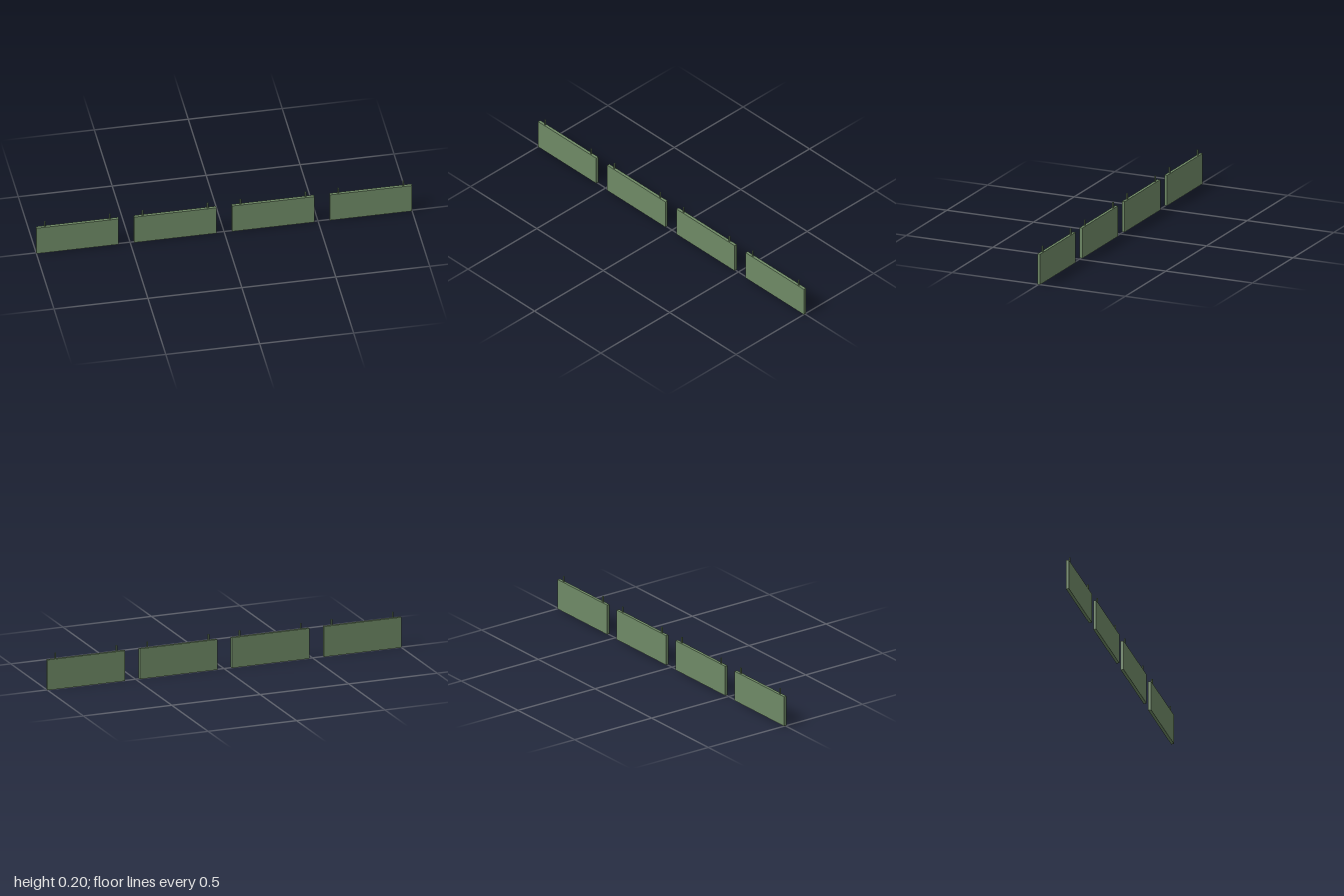
import * as THREE from 'three';

const PANEL = { width: 0.438, height: 0.166, depth: 0.016 };
const SPACING = 0.5207;
const PIN = { radius: 0.0045, top: 0.198, offset: 0.173, sunk: 0.01 };

export function createModel() {
  const model = new THREE.Group();
  model.name = 'hangingPanels';
  const green = new THREE.MeshStandardMaterial({ color: 0x6f8a66 });

  const panelGeometry = new THREE.BoxGeometry(PANEL.width, PANEL.height, PANEL.depth);
  const pinHeight = PIN.top - PANEL.height + PIN.sunk;
  const pinGeometry = new THREE.CylinderGeometry(PIN.radius, PIN.radius, pinHeight, 12);

  // Four identical boards in a row
  for (let i = 0; i < 4; i++) {
    const board = new THREE.Group();
    board.name = `board${i + 1}`;
    board.position.x = (i - 1.5) * SPACING;

    const panel = new THREE.Mesh(panelGeometry, green);
    panel.name = 'panel';
    panel.position.y = PANEL.height / 2;
    board.add(panel);

    // Two hanging pins on the top edge
    for (const side of [-1, 1]) {
      const pin = new THREE.Mesh(pinGeometry, green);
      pin.name = side > 0 ? 'leftPin' : 'rightPin';
      pin.position.set(side * PIN.offset, PIN.top - pinHeight / 2, 0);
      board.add(pin);
    }
    model.add(board);
  }
  return model;
}
